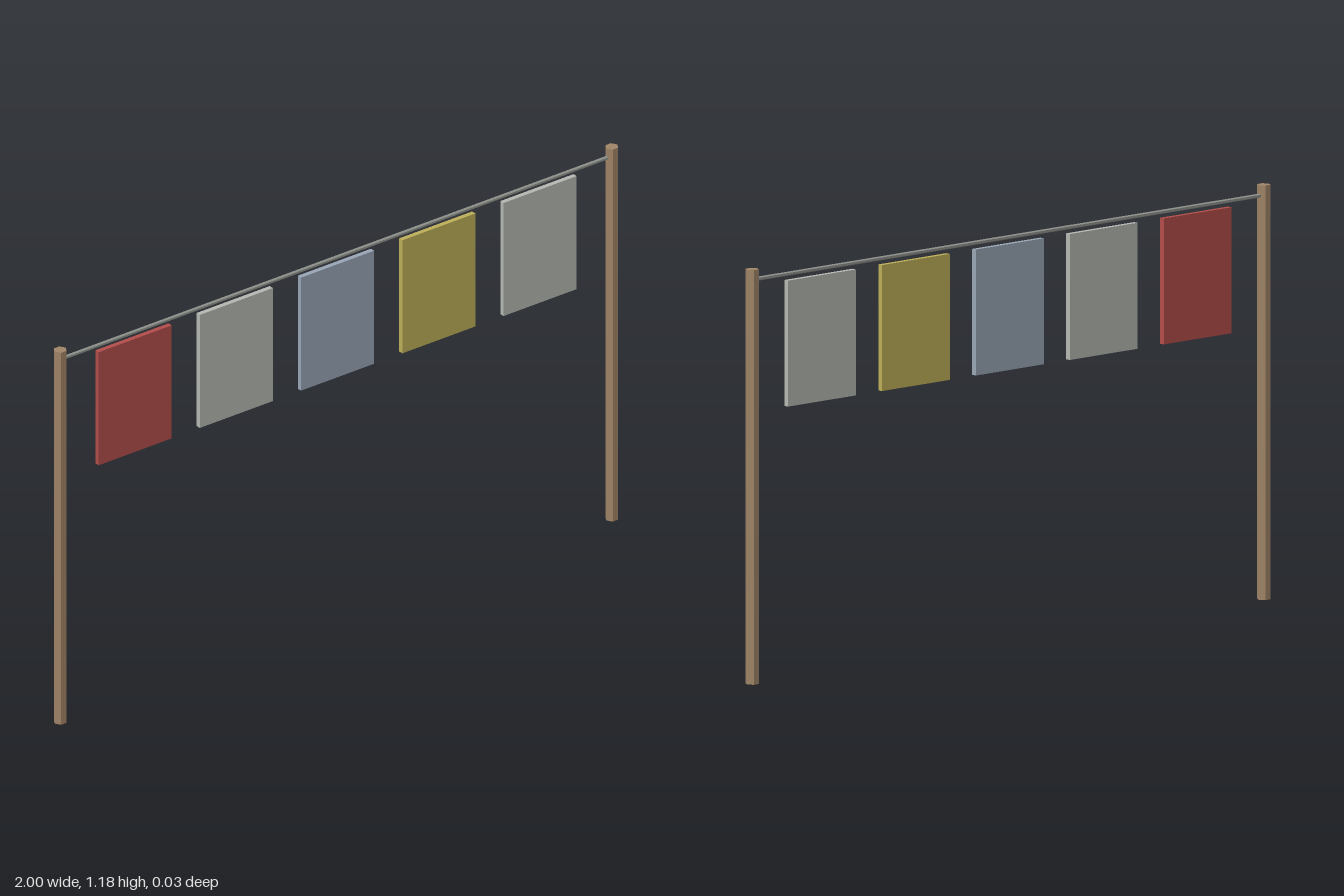
import * as THREE from 'three';

function material(name, color) {
  const m = new THREE.MeshStandardMaterial({ color });
  m.name = name;
  return m;
}

export function createModel() {
  const group = new THREE.Group();
  group.name = 'bannerLine';

  const wood = material('wood', 0xa08467);
  const cord = material('cordGrey', 0x8f928c);
  const red = material('red', 0xb24d4a);
  const grey = material('paleGrey', 0xb4b7b1);
  const blue = material('dustyBlue', 0x98a5b5);
  const yellow = material('mustard', 0xbcae58);

  function add(name, geometry, mat, x, y) {
    const mesh = new THREE.Mesh(geometry, mat);
    mesh.name = name;
    mesh.position.set(x, y, 0);
    group.add(mesh);
  }

  // Six-sided rod with flat faces, corners pointing along x
  function rod(radius, length) {
    return new THREE.CylinderGeometry(radius, radius, length, 6)
      .rotateY(Math.PI / 2)
      .toNonIndexed();
  }
  function faceted(geometry) {
    geometry.computeVertexNormals();
    return geometry;
  }

  // Upright posts
  const postHeight = 1.178;
  const post = faceted(rod(0.0195, postHeight));
  add('rightPost', post, wood, -0.9805, postHeight / 2);
  add('leftPost', post, wood, 0.9805, postHeight / 2);

  // Line strung between the posts
  add('line', faceted(rod(0.006, 1.96).rotateZ(Math.PI / 2)), cord, 0, 1.148);

  // Row of banners hanging just below the line
  const banner = new THREE.BoxGeometry(0.26, 0.358, 0.015);
  [red, grey, blue, yellow, grey].forEach((mat, i) => {
    add('banner' + (i + 1), banner, mat, (i - 2) * 0.36, 0.951);
  });

  return group;
}
